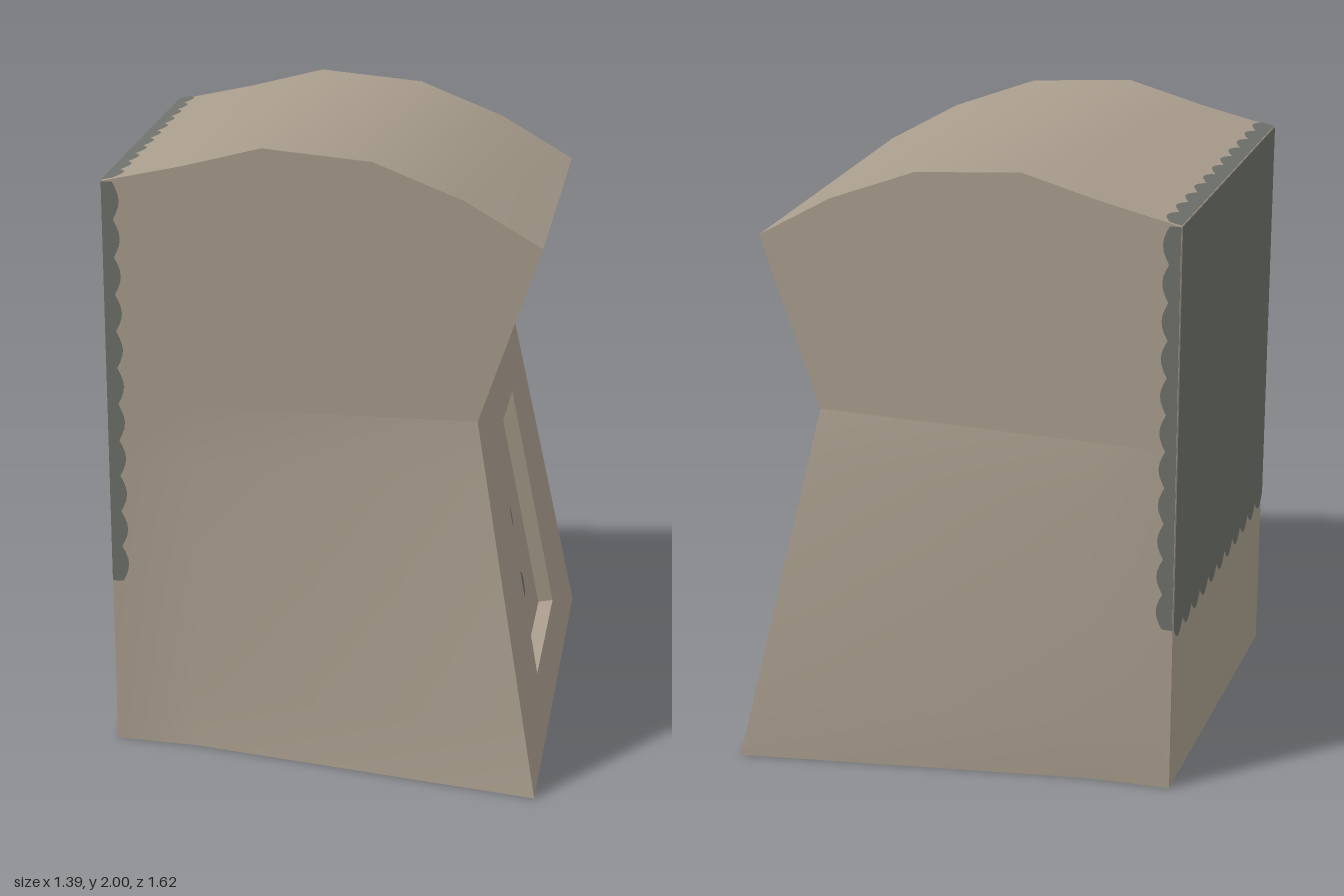
import * as THREE from 'three';

const V = (x, y, z) => new THREE.Vector3(x, y, z);
const W = 0.58; // half width of the straight upper body
const KNEE = 1.16; // height where the front slope meets the brow

// Surface between two matching polylines, smooth along its length
function strip(a, b, rows = 1) {
  const pos = [], idx = [], n = a.length;
  for (let r = 0; r <= rows; r++)
    for (let i = 0; i < n; i++) pos.push(...a[i].clone().lerp(b[i], r / rows).toArray());
  for (let r = 0; r < rows; r++)
    for (let i = 0; i < n - 1; i++) {
      const p = r * n + i, q = p + n;
      idx.push(p, p + 1, q + 1, p, q + 1, q);
    }
  const g = new THREE.BufferGeometry();
  g.setAttribute('position', new THREE.Float32BufferAttribute(pos, 3));
  g.setIndex(idx);
  g.computeVertexNormals();
  return g;
}

// Flat sheet with a straight start edge and a scalloped far edge
function scallopSheet(length, count, base, depth) {
  const pts = [[0, 0], [length, 0]];
  const steps = count * 6;
  for (let i = steps; i >= 0; i--)
    pts.push([(length * i) / steps, base + depth * Math.abs(Math.sin((Math.PI * i) / 6))]);
  return new THREE.ShapeGeometry(new THREE.Shape(pts.map((p) => new THREE.Vector2(...p))));
}

// Places flat geometry using its along and across directions
function place(geo, origin, along, across, lift = 0.004) {
  const x = along.clone().normalize(), y = across.clone().normalize();
  const z = x.clone().cross(y);
  const m = new THREE.Matrix4().makeBasis(x, y, z);
  return geo.applyMatrix4(m.setPosition(origin.clone().addScaledVector(z, lift)));
}

export function createModel() {
  const stone = new THREE.MeshStandardMaterial({ color: 0xa89c8c });
  stone.name = 'warm stone';
  const slate = new THREE.MeshStandardMaterial({ color: 0x6d706a });
  slate.name = 'dark slate';

  const model = new THREE.Group();
  model.name = 'monument';
  const add = (name, geo, mat = stone) => {
    const mesh = new THREE.Mesh(geo, mat);
    mesh.name = name;
    model.add(mesh);
  };

  // Faces spanning the whole width, from profile points [x, y, half width]
  const across = (pts) => strip(pts.map((p) => V(...p)), pts.map((p) => V(p[0], p[1], -p[2])));
  const roof = [[-0.7, 1.88], [-0.45, 1.935], [-0.2, 2], [0.14, 1.97], [0.42, 1.86], [0.66, 1.72]];
  add('curvedTop', across(roof.map(([x, y]) => [x, y, W])));
  add('brow', across([[0.66, 1.72, W], [0.47, KNEE, W]]));
  add('backWall', across([[-0.7, 0, W], [-0.7, 1.88, W]]));
  add('base', across([[0.69, 0, 0.81], [-0.43, 0, 0.6], [-0.7, 0, W]]));

  // Side walls: flat above the knee, flaring towards the front below it
  const outline = [[-0.7, KNEE], [0.47, KNEE], ...roof.slice().reverse()];
  const upper = new THREE.Shape(outline.map((p) => new THREE.Vector2(...p)));
  for (const s of [1, -1]) {
    const side = s > 0 ? 'left' : 'right';
    const face = new THREE.ShapeGeometry(upper);
    if (s < 0) face.rotateY(Math.PI).scale(-1, 1, 1);
    if (s < 0) {
      // mirrored sheet must face outwards
      face.setIndex(Array.from(face.index.array).reverse());
      face.computeVertexNormals();
    }
    face.translate(0, 0, s * W);
    add(side + 'UpperSide', face);
    const low = [V(-0.7, 0, s * W), V(-0.43, 0, s * 0.6), V(0.69, 0, s * 0.81)];
    const high = [V(-0.7, KNEE, s * W), V(-0.43, KNEE, s * W), V(0.47, KNEE, s * W)];
    if (s < 0) { low.reverse(); high.reverse(); }
    add(side + 'LowerSide', strip(low, high, 6));
  }

  // Sloping face with a sunken trapezoid panel
  const up = V(-0.22, KNEE, 0), foot = V(0.69, 0, 0), right = V(0, 0, -1);
  const k = up.length() / KNEE, depth = 0.05;
  const trapezoid = (y0, y1, w0, w1) =>
    [[-w0, y0], [w0, y0], [w1, y1], [-w1, y1]].map(([x, y]) => new THREE.Vector2(x, y * k));
  const rim = trapezoid(0.2, 0.99, 0.31, 0.24);
  const slope = new THREE.Shape(trapezoid(0, KNEE, 0.81, W));
  slope.holes.push(new THREE.Path(rim));
  add('slopingFace', place(new THREE.ShapeGeometry(slope), foot, right, up, 0));
  add('panelFloor', place(new THREE.ShapeGeometry(new THREE.Shape(rim)), foot, right, up, -depth));
  rim.forEach((p, i) => {
    const q = rim[(i + 1) % 4];
    const wall = strip([V(p.x, p.y, 0), V(q.x, q.y, 0)], [V(p.x, p.y, -depth), V(q.x, q.y, -depth)]);
    add('panelWall' + (i + 1), place(wall, foot, right, up, 0));
  });

  // Three round marks on the panel
  [0.845, 0.615, 0.38].forEach((y, i) => {
    const dot = new THREE.CircleGeometry(0.046, 10).translate(0, (y + 0.009) * k, 0);
    add('panelDot' + (i + 1), place(dot, foot, right, up, 0.004 - depth), slate);
  });

  // Dark covering on the back, with a scalloped hem wrapping onto the sides and top
  const topY = 1.88, hemY = 0.56, tall = topY - hemY;
  add('backCover', place(scallopSheet(2 * W, 11, tall, 0.04), V(-0.7, topY, W), V(0, 0, -1), V(0, -1, 0)), slate);
  const sideHem = () => scallopSheet(tall, 11, 0.035, 0.02);
  add('leftHem', place(sideHem(), V(-0.7, topY, W), V(0, -1, 0), V(1, 0, 0)), slate);
  add('rightHem', place(sideHem(), V(-0.7, hemY, -W), V(0, 1, 0), V(1, 0, 0)), slate);
  add('topHem', place(scallopSheet(2 * W, 11, 0.038, 0.024), V(-0.7, topY, -W), V(0, 0, 1), V(0.25, 0.055, 0)), slate);

  return model;
}
